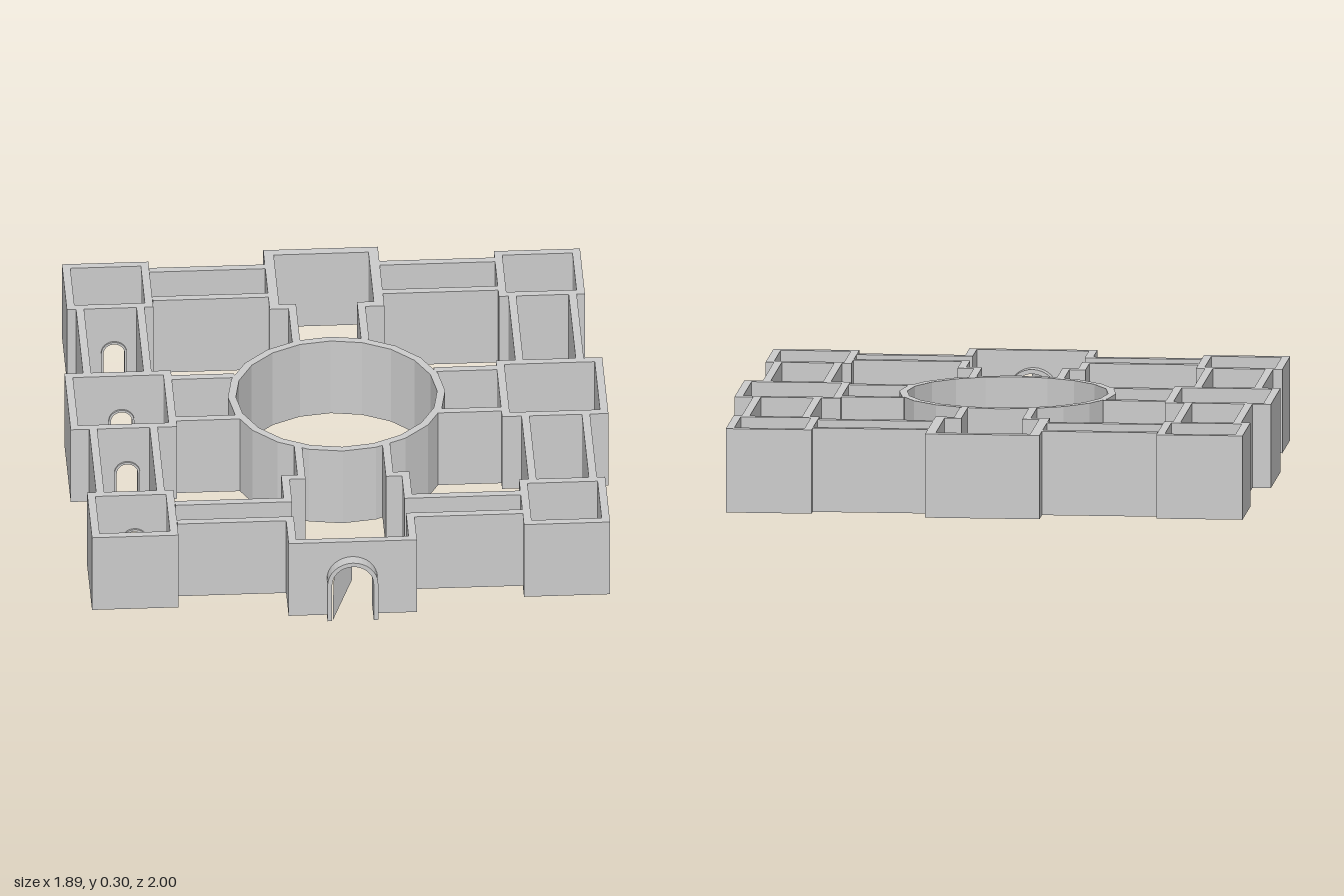
import * as THREE from 'three';

const H = 0.297; // wall height
const T = 0.028; // wall thickness
const material = new THREE.MeshStandardMaterial({ color: 0xcccccc, flatShading: true, side: THREE.DoubleSide });
const SMALL = { r: 0.037, outer: 0.045, spring: 0.115 };
const GATE = { r: 0.073, outer: 0.089, spring: 0.147 };

export function createModel() {
  const model = new THREE.Group();

  // Stand a shape, drawn along the long side, up between the given plan limits
  function upright(name, shape, x0, x1, z0, z1, alongX) {
    const geometry = new THREE.ExtrudeGeometry(shape, {
      depth: alongX ? z1 - z0 : x1 - x0, bevelEnabled: false, curveSegments: 8,
    });
    const mesh = new THREE.Mesh(geometry, material);
    mesh.name = name;
    if (alongX) mesh.position.z = z0;
    else {
      mesh.rotation.y = -Math.PI / 2;
      mesh.position.x = x1;
    }
    model.add(mesh);
  }

  // Wall, optionally cut by an arched doorway centred at c with a projecting frame
  function wall(name, x0, x1, z0, z1, c = null, door = SMALL, reach = 0.007) {
    const alongX = x1 - x0 > z1 - z0;
    const [a, b] = alongX ? [x0, x1] : [z0, z1];
    const s = new THREE.Shape();
    s.moveTo(a, 0);
    if (c !== null) {
      s.lineTo(c - door.r, 0);
      s.lineTo(c - door.r, door.spring);
      s.absarc(c, door.spring, door.r, Math.PI, 0, true);
      s.lineTo(c + door.r, 0);
    }
    s.lineTo(b, 0);
    s.lineTo(b, H);
    s.lineTo(a, H);
    s.closePath();
    upright(name, s, x0, x1, z0, z1, alongX);
    if (c === null) return;

    const f = new THREE.Shape();
    f.moveTo(c + door.outer, 0);
    f.lineTo(c + door.outer, door.spring);
    f.absarc(c, door.spring, door.outer, 0, Math.PI, false);
    f.lineTo(c - door.outer, 0);
    f.lineTo(c - door.r, 0);
    f.lineTo(c - door.r, door.spring);
    f.absarc(c, door.spring, door.r, Math.PI, 0, true);
    f.lineTo(c + door.r, 0);
    f.closePath();
    const dx = alongX ? 0 : reach, dz = alongX ? reach : 0;
    upright('doorFrame', f, x0 - dx, x1 + dx, z0 - dz, z1 + dz, alongX);
  }

  // Square room with optional doorways in its back, front and right (+x) walls
  function room(name, x0, x1, z0, z1, doors = {}) {
    const { back = null, front = null, side = null } = doors;
    wall(name, x0, x1, z0, z0 + T, back);
    wall(name, x0, x1, z1 - T, z1, front);
    wall(name, x0, x0 + T, z0 + T, z1 - T);
    wall(name, x1 - T, x1, z0 + T, z1 - T, side);
  }

  // Outer rooms: doorways are on the -x side
  room('cornerRoom', -0.91, -0.607, -0.947, -0.645, { front: -0.745, side: -0.805 });
  room('middleRoom', -0.943, -0.57, -0.22, 0.155, { back: -0.745, front: -0.745, side: -0.027 });
  room('cornerRoom', -0.91, -0.607, 0.575, 0.877, { back: -0.745, side: 0.717 });
  room('cornerRoom', 0.605, 0.907, -0.947, -0.645);
  room('middleRoom', 0.57, 0.943, -0.22, 0.155);
  room('cornerRoom', 0.605, 0.907, 0.575, 0.877);

  for (const s of [-1, 1]) {
    const span = (name, a, b, z0, z1, ...rest) =>
      wall(name, Math.min(s * a, s * b), Math.max(s * a, s * b), z0, z1, ...rest);

    // Corridors between the outer rooms
    for (const x of [0.638, 0.85]) {
      span('sideCorridorWall', x, x + T, -0.645, -0.22);
      span('sideCorridorWall', x, x + T, 0.155, 0.575);
    }
    for (const z of [-0.905, -0.715]) span('backCorridorWall', 0.2, 0.606, z, z + T);
    for (const z of [0.65, 0.775]) span('frontCorridorWall', 0.2, 0.606, z, z + T);

    // Passages from the middle rooms to the drum
    span('middlePassageWall', 0.35, 0.57, -0.187, -0.187 + T);
    span('middlePassageWall', 0.34, 0.57, 0.089, 0.089 + T);

    // Back room and its neck
    span('backRoomSide', 0.166, 0.201, -0.966, -0.637, -0.807);
    span('backRoomShoulder', 0.135, 0.201, -0.637, -0.606);
    span('backNeckWall', 0.107, 0.135, -0.637, -0.387);

    // Front room and its neck, open to the front corridors
    span('frontNeckWall', 0.141, 0.168, 0.3, 0.528);
    span('frontRoomShoulder', 0.168, 0.225, 0.5, 0.528);
    span('frontRoomSide', 0.197, 0.225, 0.528, 0.678);
    span('frontRoomSide', 0.197, 0.225, 0.775, 0.93);
  }
  wall('backRoomEnd', -0.201, 0.201, -1, -0.966);
  wall('entranceWall', -0.225, 0.225, 0.93, 0.956, -0.002, GATE, 0.044);

  // Slanting leaf inside the entrance
  const leaf = new THREE.Shape();
  leaf.moveTo(-0.072, 0);
  leaf.lineTo(0, 0.105);
  leaf.lineTo(0, 0.217);
  leaf.absarc(0, GATE.spring, 0.07, Math.PI / 2, Math.PI, false);
  leaf.closePath();
  const leafGeometry = new THREE.ShapeGeometry(leaf, 8);
  const p = leafGeometry.attributes.position;
  for (let i = 0; i < p.count; i++) p.setZ(i, 0.9 - p.getX(i) * 1.3);
  leafGeometry.computeVertexNormals();
  const leafMesh = new THREE.Mesh(leafGeometry, material);
  leafMesh.name = 'entranceLeaf';
  model.add(leafMesh);

  // Central twenty-sided drum
  const ring = [[0.353, 0], [0.381, 0], [0.381, H], [0.353, H], [0.353, 0]];
  const drum = new THREE.Mesh(
    new THREE.LatheGeometry(ring.map(([x, y]) => new THREE.Vector2(x, y)), 20), material);
  drum.name = 'centralDrum';
  drum.position.z = -0.03;
  model.add(drum);

  return model;
}
